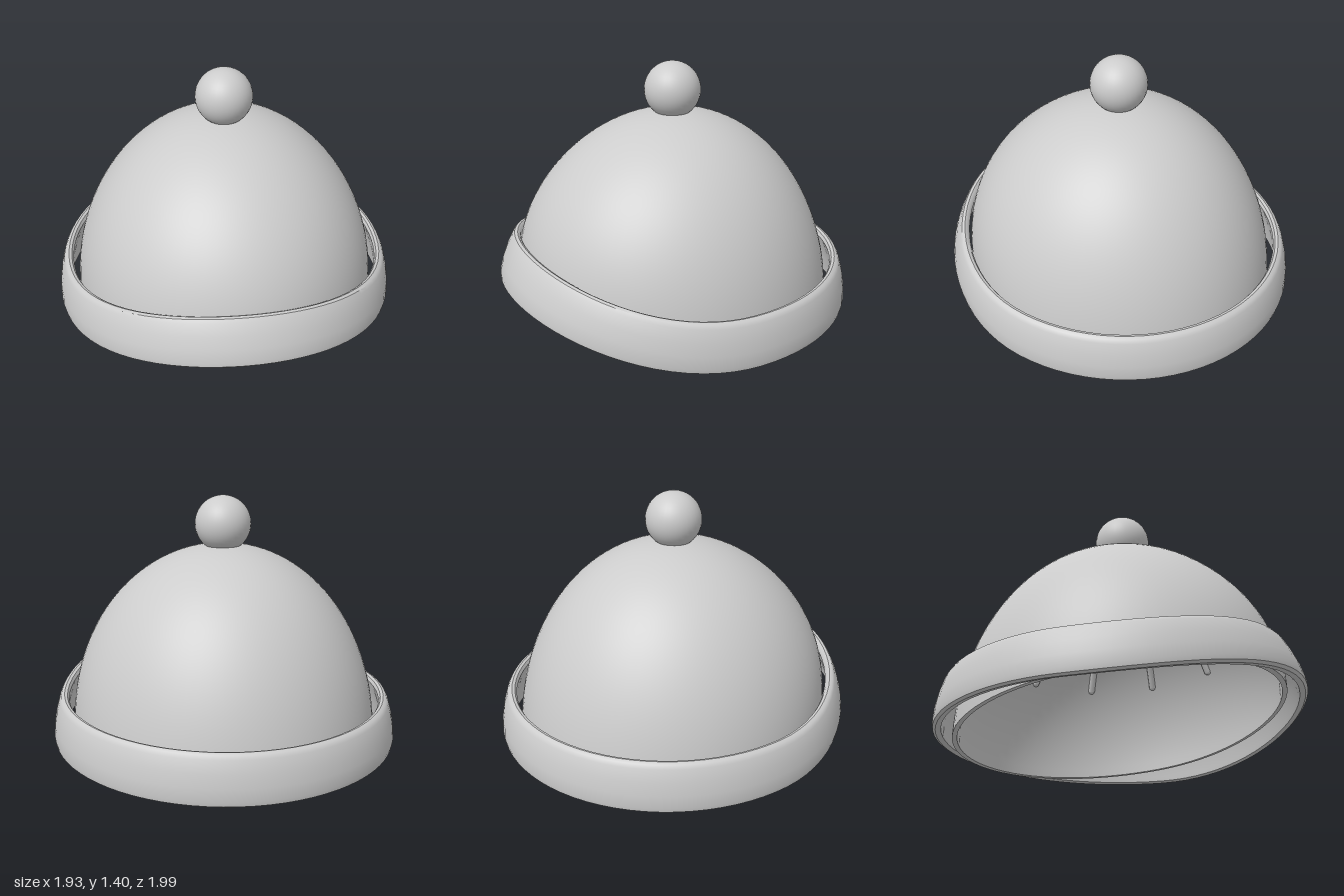
import * as THREE from 'three';
import { mergeVertices, toCreasedNormals } from 'three/addons/utils/BufferGeometryUtils.js';

const wool = new THREE.MeshStandardMaterial({ color: 0xcccccc });
wool.name = 'plain grey wool';

const CROWN_Y = 0.1;

// Moves every vertex by a rule, then rebuilds normals with sharp rims.
function reshape(geometry, rule) {
  geometry.deleteAttribute('uv');
  geometry.deleteAttribute('normal');
  const pos = geometry.attributes.position;
  const v = new THREE.Vector3();
  for (let i = 0; i < pos.count; i++) {
    rule(v.fromBufferAttribute(pos, i));
    pos.setXYZ(i, v.x, v.y, v.z);
  }
  return toCreasedNormals(mergeVertices(geometry, 1e-5), 0.7);
}

// The crown leans back at its opening and lifts a little at the front.
function leanCrown(v) {
  v.z *= 1.045;
  const fade = Math.max(0, 1 - (v.y - CROWN_Y) / 1.03);
  const front = Math.max(0, v.z);
  v.y += fade * (0.11 * v.z + 0.08 * front * front);
  return v;
}

// The cuff sweeps upward over the forehead and tips inward there.
function sweepCuff(v) {
  v.z *= 1.03;
  const front = Math.max(0, v.z);
  const height = v.y - 0.07;
  v.y += 0.2 * front * front;
  v.z -= height * 0.24 * front * front;
}

// Point on the crown's quarter ellipse, angle measured from the top.
function crownPoint(angle, inset = 0) {
  return new THREE.Vector2(
    (0.85 - inset) * Math.sin(angle),
    CROWN_Y + (1.03 - inset) * Math.cos(angle)
  );
}

function addMesh(parent, name, geometry) {
  const mesh = new THREE.Mesh(geometry, wool);
  mesh.name = name;
  parent.add(mesh);
  return mesh;
}

export function createModel() {
  const hat = new THREE.Group();
  hat.name = 'bobbleHat';

  // Crown: hollow shell, inside surface then outside surface
  const steps = 32;
  const shell = [];
  for (let i = 0; i <= steps; i++) shell.push(crownPoint((i / steps) * Math.PI / 2, 0.025));
  for (let i = steps; i >= 0; i--) shell.push(crownPoint((i / steps) * Math.PI / 2));
  addMesh(hat, 'crown', reshape(new THREE.LatheGeometry(shell, 80), leanCrown));

  // Cuff: thin folded band around the opening
  const cuffProfile = [
    [0.918, 0.05], [0.945, 0.043], [0.96, 0.052], [0.964, 0.075], [0.96, 0.14],
    [0.947, 0.21], [0.928, 0.275], [0.917, 0.295], [0.9, 0.303], [0.884, 0.298],
    [0.874, 0.28], [0.895, 0.21], [0.91, 0.14], [0.915, 0.075], [0.918, 0.05]
  ].map(([r, y]) => new THREE.Vector2(r, y));
  addMesh(hat, 'cuff', reshape(new THREE.LatheGeometry(cuffProfile, 80), sweepCuff));

  // Bobble on top
  const bobble = addMesh(hat, 'bobble', new THREE.SphereGeometry(0.155, 32, 24));
  bobble.position.set(0, 1.243, 0.008);

  // Seams: twelve raised ridges inside the crown
  const seams = new THREE.Group();
  seams.name = 'innerSeams';
  hat.add(seams);
  for (let k = 0; k < 12; k++) {
    const turn = (k / 12) * Math.PI * 2;
    const path = [];
    for (let i = 0; i <= 6; i++) {
      const p = crownPoint(0.35 + (i / 6) * 0.7, 0.028);
      path.push(leanCrown(new THREE.Vector3(p.x * Math.sin(turn), p.y, p.x * Math.cos(turn))));
    }
    addMesh(seams, 'seam', new THREE.TubeGeometry(new THREE.CatmullRomCurve3(path), 12, 0.02, 8));
    for (const end of [path[0], path[6]]) {
      addMesh(seams, 'seamEnd', new THREE.SphereGeometry(0.02, 8, 6)).position.copy(end);
    }
  }

  return hat;
}
